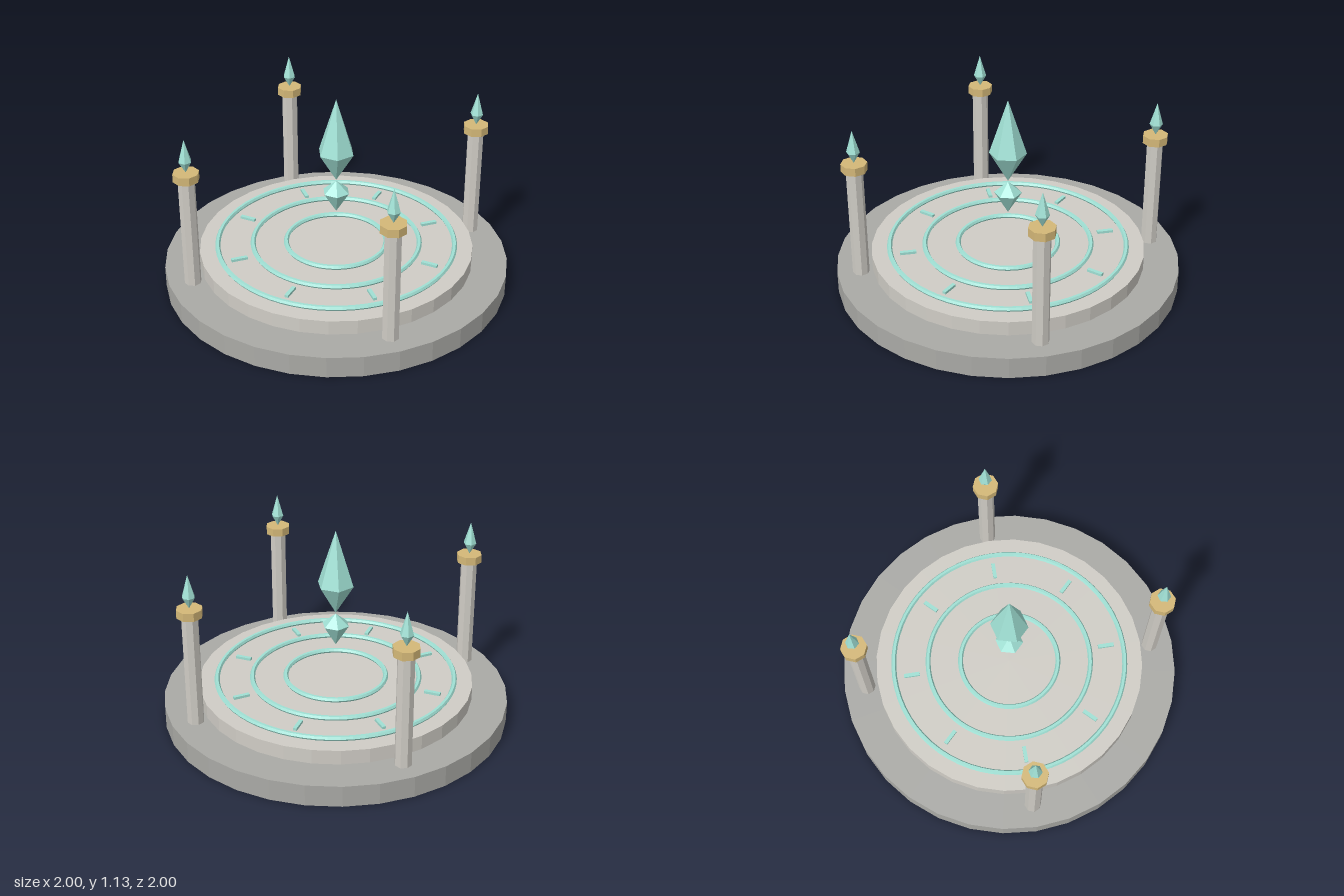
import * as THREE from 'three';

const material = (color) => new THREE.MeshStandardMaterial({ color, flatShading: true });

export function createModel() {
  const model = new THREE.Group();
  model.name = 'crystalShrine';
  const darkStone = material(0xaaaaa6);
  const paleStone = material(0xd0cdc6);
  const gold = material(0xd4b878);
  const aqua = material(0xa0e0d4);

  function add(parent, name, geometry, mat, x = 0, y = 0, z = 0) {
    const mesh = new THREE.Mesh(geometry, mat);
    mesh.name = name;
    mesh.position.set(x, y, z);
    parent.add(mesh);
    return mesh;
  }

  // Upright cylinder standing between two heights
  function drum(parent, name, radius, y0, y1, sides, mat) {
    return add(parent, name, new THREE.CylinderGeometry(radius, radius, y1 - y0, sides), mat, 0, (y0 + y1) / 2);
  }

  // Six-sided double-pointed crystal, corners on the x axis
  function crystal(parent, name, radius, bottom, waist, top) {
    const profile = [[0, bottom], [radius, waist], [0, top]].map(([r, y]) => new THREE.Vector2(r, y));
    return add(parent, name, new THREE.LatheGeometry(profile, 6, Math.PI / 2), aqua);
  }

  // Stepped round platform
  drum(model, 'lowerStep', 1, 0, 0.125, 32, darkStone);
  drum(model, 'upperStep', 0.795, 0.125, 0.21, 32, paleStone);

  // Concentric glowing rings
  for (const radius of [0.69, 0.485, 0.291]) {
    const ring = new THREE.TorusGeometry(radius, 0.015, 6, 64).rotateX(Math.PI / 2);
    add(model, 'inlaidRing', ring, aqua, 0, 0.221);
  }

  // Radial marks between the outer rings
  for (let i = 0; i < 8; i++) {
    const a = (i * Math.PI) / 4;
    const mark = add(model, 'radialMark', new THREE.BoxGeometry(0.022, 0.02, 0.094), aqua,
      Math.sin(a) * 0.587, 0.215, Math.cos(a) * 0.587);
    mark.rotation.y = a;
  }

  // Four corner pillars with gold capitals and small crystals
  for (const sx of [-1, 1]) {
    for (const sz of [-1, 1]) {
      const pillar = new THREE.Group();
      pillar.name = 'pillar';
      pillar.position.set(sx * 0.61, 0, sz * 0.61);
      drum(pillar, 'shaft', 0.048, 0.12, 0.787, 8, paleStone);
      drum(pillar, 'capital', 0.074, 0.785, 0.833, 8, gold);
      crystal(pillar, 'pillarCrystal', 0.038, 0.833, 0.9, 1.03);
      model.add(pillar);
    }
  }

  // Floating crystals at the centre
  crystal(model, 'greatCrystal', 0.107, 0.625, 0.803, 1.13);
  crystal(model, 'lowerCrystal', 0.08, 0.42, 0.55, 0.618);

  return model;
}
